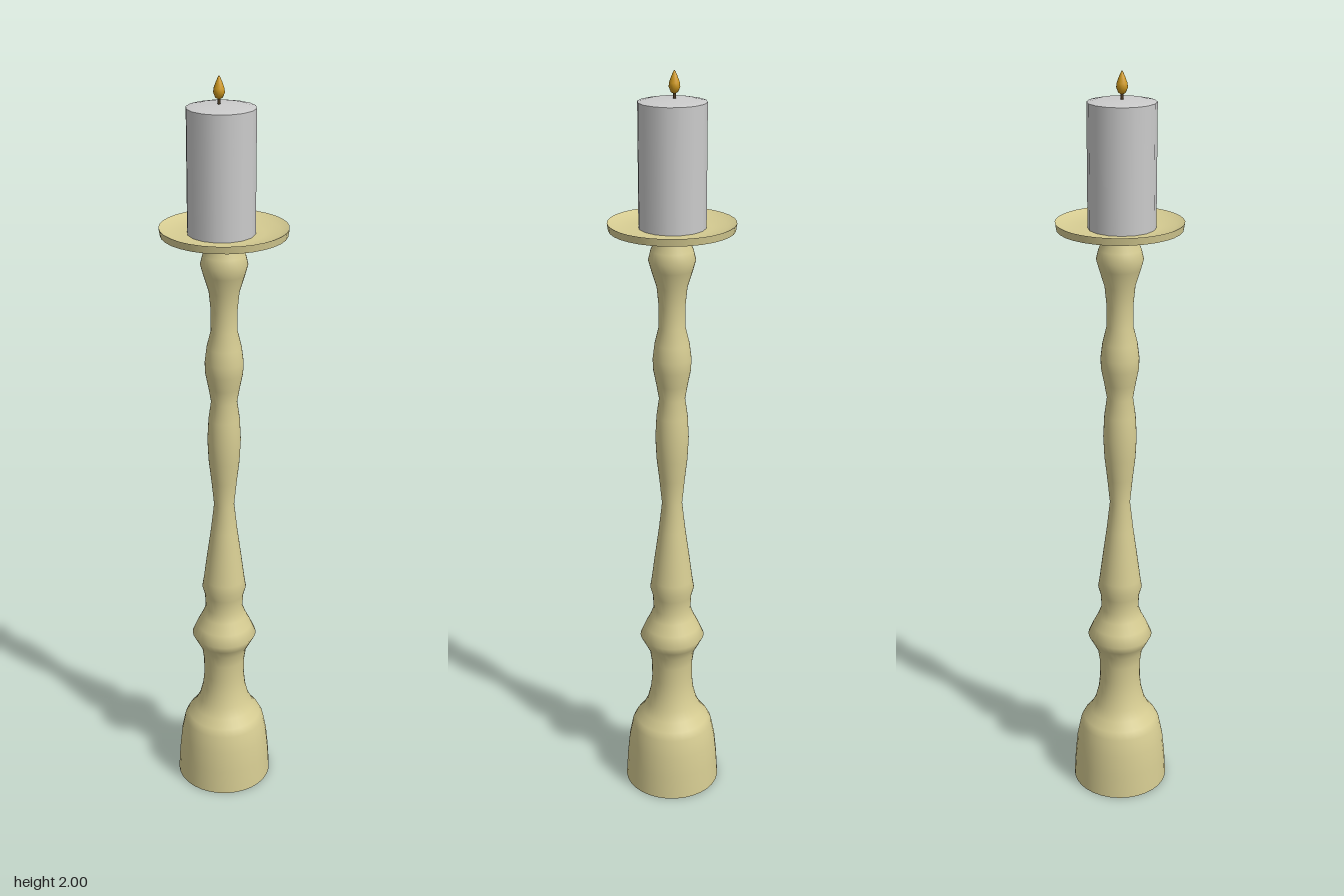
import * as THREE from 'three';

const brass = new THREE.MeshStandardMaterial({ color: 0xd6cc92, side: THREE.DoubleSide });
const wax = new THREE.MeshStandardMaterial({ color: 0xcccccc, side: THREE.DoubleSide });
const flameColor = new THREE.MeshStandardMaterial({ color: 0xd09a20 });
const wickColor = new THREE.MeshStandardMaterial({ color: 0x4a3a24 });

// Turned surface from [radius, height] pairs, listed from bottom to top
function turned(name, profile, sides, material) {
  const points = profile.map(([r, y]) => new THREE.Vector2(r, y));
  const mesh = new THREE.Mesh(new THREE.LatheGeometry(points, sides), material);
  mesh.name = name;
  return mesh;
}

export function createModel() {
  const model = new THREE.Group();
  model.name = 'candlestick';

  // Foot, knops and tapering stem in one turned profile
  model.add(turned('stem', [
    [0.132, 0], [0.128, 0.07], [0.122, 0.13], [0.112, 0.18], [0.102, 0.2],
    [0.084, 0.222], [0.07, 0.25], [0.06, 0.29], [0.056, 0.33], [0.057, 0.38],
    [0.062, 0.415], [0.075, 0.44], [0.088, 0.465], [0.075, 0.495], [0.06, 0.525],
    [0.051, 0.55], [0.053, 0.59], [0.06, 0.615], [0.056, 0.64], [0.047, 0.71],
    [0.036, 0.79], [0.027, 0.87], [0.034, 0.94], [0.041, 1.0], [0.044, 1.06],
    [0.041, 1.12], [0.034, 1.17], [0.041, 1.21], [0.049, 1.25], [0.05, 1.28],
    [0.045, 1.32], [0.034, 1.365], [0.034, 1.42], [0.039, 1.47], [0.053, 1.515],
    [0.06, 1.54], [0.054, 1.565], [0.045, 1.585], [0.044, 1.6],
  ], 32, brass));
  model.add(turned('footUnderside', [[0, 0], [0.132, 0]], 32, brass));

  // Shallow drip dish with a raised rim
  const dish = new THREE.Group();
  dish.name = 'dripDish';
  dish.add(turned('dishUnderside', [[0.043, 1.597], [0.1, 1.605], [0.158, 1.616]], 32, brass));
  dish.add(turned('dishRim', [[0.158, 1.616], [0.161, 1.635]], 32, brass));
  dish.add(turned('dishInside', [[0.161, 1.635], [0.14, 1.626], [0.1, 1.621], [0, 1.619]], 32, brass));
  model.add(dish);

  // Candle standing slightly off centre
  const candle = new THREE.Group();
  candle.name = 'candle';
  candle.position.set(-0.005, 0, 0.005);
  candle.add(turned('candleSide', [[0.085, 1.618], [0.085, 1.926]], 16, wax));
  candle.add(turned('candleTop', [[0.085, 1.926], [0.06, 1.931], [0, 1.933]], 16, wax));

  const wick = new THREE.Mesh(new THREE.CylinderGeometry(0.004, 0.004, 0.03, 8), wickColor);
  wick.name = 'wick';
  wick.position.set(-0.006, 1.94, 0);
  candle.add(wick);

  // Teardrop flame
  const flame = turned('flame', [
    [0, 1.943], [0.009, 1.948], [0.014, 1.96], [0.013, 1.97], [0.008, 1.984], [0.003, 1.995], [0, 2],
  ], 16, flameColor);
  flame.position.x = -0.006;
  candle.add(flame);
  model.add(candle);

  return model;
}
